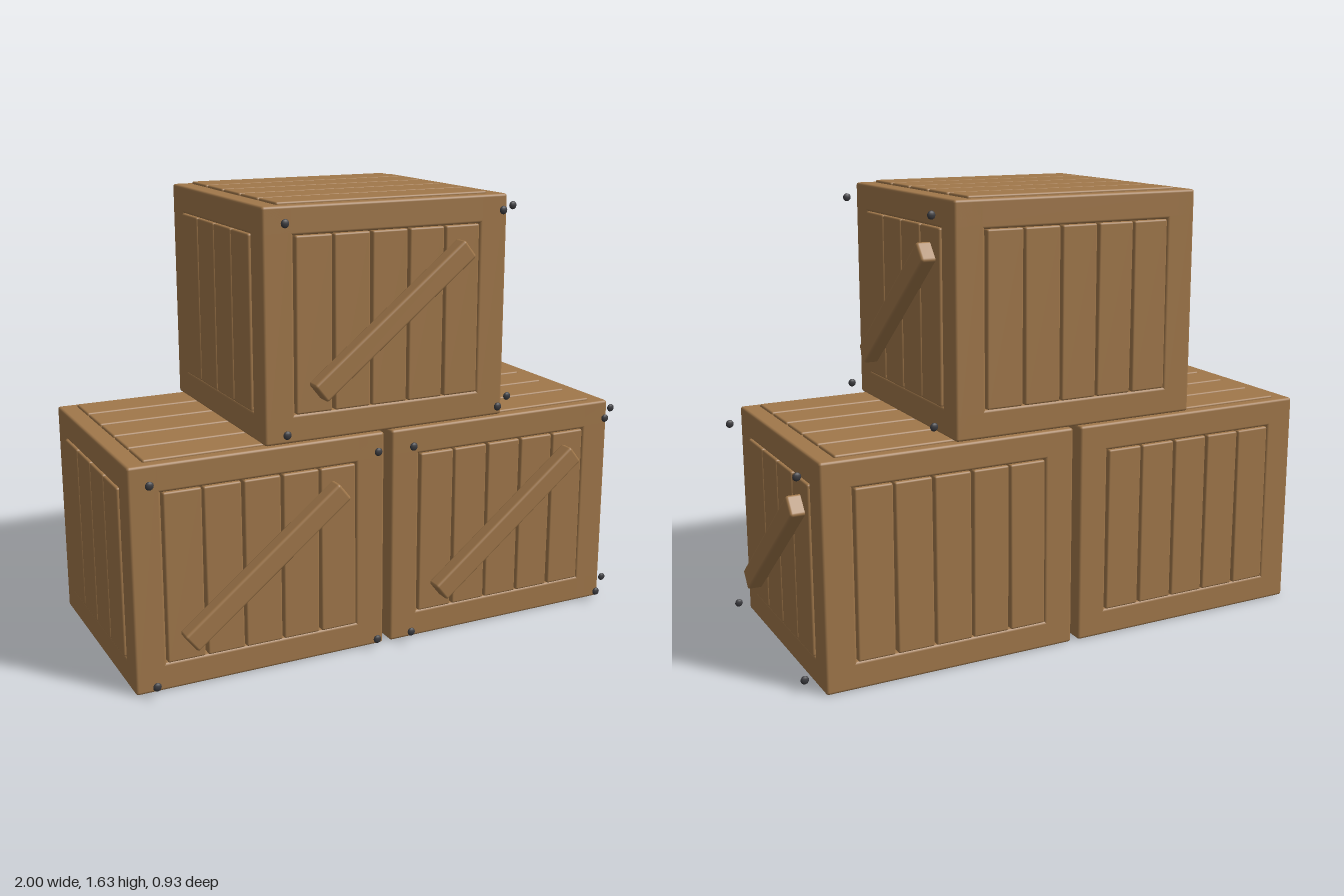
import * as THREE from 'three';
import { RoundedBoxGeometry } from 'three/addons/geometries/RoundedBoxGeometry.js';

const wood = new THREE.MeshStandardMaterial({ color: 0xa0774a });
wood.name = 'wood';
const darkWood = new THREE.MeshStandardMaterial({ color: 0x6b4a2f });
darkWood.name = 'dark wood';
const iron = new THREE.MeshStandardMaterial({ color: 0x3a3a3e });
iron.name = 'iron';

// crate size, and sizes of its frame members
const W = 0.945, H = 0.81, D = 0.86;
const POST_X = 0.112, POST_Z = 0.105, RAIL = 0.1, THICK = 0.075;

function beam(parent, name, size, pos, radius = 0.01) {
  const mesh = new THREE.Mesh(new RoundedBoxGeometry(...size, 2, radius), wood);
  mesh.name = name;
  mesh.position.set(...pos);
  parent.add(mesh);
  return mesh;
}

// Row of upright planks facing +z, centred on the origin; each leans very slightly
function plankWall(name, count, width, height) {
  const wall = new THREE.Group();
  wall.name = name;
  const pitch = width / count;
  for (let i = 0; i < count; i++) {
    const plank = beam(wall, 'plank', [pitch - 0.008, height, 0.05], [(i + 0.5) * pitch - width / 2, 0, 0], 0.007);
    plank.rotation.z = Math.sin(i * 2.3 + count) * 0.004;
  }
  return wall;
}

function createCrate() {
  const crate = new THREE.Group();
  crate.name = 'crate';
  const midY = H / 2;

  // frame: four posts and eight rails
  for (const s of [-1, 1]) {
    for (const t of [-1, 1]) {
      beam(crate, 'cornerPost', [POST_X, H, POST_Z], [s * (W - POST_X) / 2, midY, t * (D - POST_Z) / 2]);
      const y = midY + t * (H - RAIL) / 2;
      beam(crate, 'longRail', [W, RAIL, THICK], [0, y, s * (D - THICK) / 2]);
      beam(crate, 'sideRail', [THICK, RAIL, D], [s * (W - THICK) / 2, y, 0]);
    }
  }

  // plank walls, standing slightly proud of the frame
  const openW = W - 2 * POST_X, openH = H - 2 * RAIL, openD = D - 2 * POST_Z;
  for (const s of [-1, 1]) {
    const long = plankWall(s > 0 ? 'frontPlanks' : 'backPlanks', 5, openW, openH);
    long.position.set(0, midY, s * (D / 2 - 0.019));
    const side = plankWall(s > 0 ? 'leftPlanks' : 'rightPlanks', 4, openD, openH);
    side.position.set(s * (W / 2 - 0.019), midY, 0);
    side.rotation.y = Math.PI / 2;
    crate.add(long, side);
  }

  // lid slats
  const pitch = 0.161;
  for (let i = -2; i <= 2; i++) {
    beam(crate, 'lidSlat', [0.815, 0.05, pitch - 0.014], [0, H - 0.016, i * pitch], 0.007);
  }

  // dark core behind the gaps; the base stays open
  const core = new THREE.Mesh(new THREE.BoxGeometry(0.72, 0.61, 0.65), darkWood);
  core.name = 'darkCore';
  core.position.y = midY;
  crate.add(core);

  // diagonal braces
  const frontBrace = beam(crate, 'frontBrace', [0.74, 0.078, 0.06], [0, midY, 0.462]);
  frontBrace.rotation.z = 0.67;
  const sideBrace = beam(crate, 'sideBrace', [0.06, 0.078, 0.71], [0.5, midY, 0]);
  sideBrace.rotation.x = 0.69;

  // flattened nail heads
  const nailGeometry = new THREE.SphereGeometry(0.015, 12, 8).scale(1, 1, 0.5);
  for (const s of [-1, 1]) {
    for (const t of [-1, 1]) {
      const y = midY + t * 0.355;
      for (const [x, z] of [[s * 0.417, 0.49], [0.53, s * 0.378]]) {
        const nail = new THREE.Mesh(nailGeometry, iron);
        nail.name = 'nail';
        nail.position.set(x, y, z);
        crate.add(nail);
      }
    }
  }
  return crate;
}

export function createModel() {
  const model = new THREE.Group();
  model.name = 'crateStack';
  // two crates side by side, one on top
  for (const [name, x, y] of [
    ['rightCrate', -0.5225, 0],
    ['leftCrate', 0.4525, 0],
    ['topCrate', -0.035, 0.815],
  ]) {
    const crate = createCrate();
    crate.name = name;
    crate.position.set(x, y, -0.03);
    model.add(crate);
  }
  return model;
}
